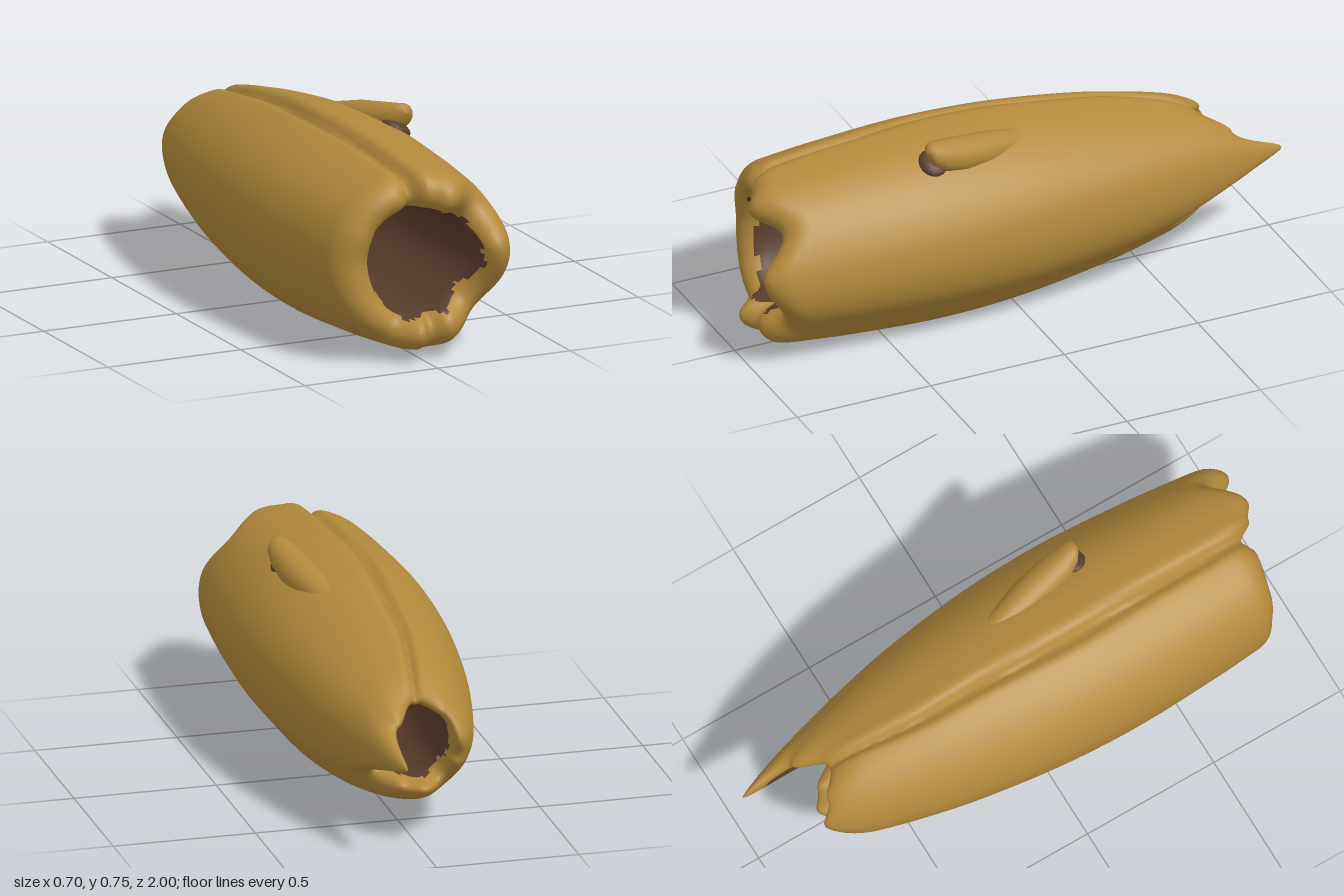
import * as THREE from 'three';

const bark = new THREE.MeshStandardMaterial({ color: 0xb3893b });
bark.name = 'bark';
const hollow = new THREE.MeshStandardMaterial({ color: 0x593c2c });
hollow.name = 'hollow';

const { lerp, degToRad, euclideanModulo } = THREE.MathUtils;
const CENTRE_Y = 0.355;

// Piecewise interpolation through [key, value] pairs in rising key order
function sample(points, key, ease = false) {
  if (key <= points[0][0]) return points[0][1];
  for (let i = 1; i < points.length; i++) {
    const [k0, v0] = points[i - 1], [k1, v1] = points[i];
    if (key <= k1) {
      const t = (key - k0) / (k1 - k0);
      return lerp(v0, v1, ease ? t * t * (3 - 2 * t) : t);
    }
  }
  return points[points.length - 1][1];
}

// Same, but eased and wrapped round the circle in degrees
function around(points, deg) {
  const first = points[0];
  const d = euclideanModulo(deg - first[0], 360) + first[0];
  return sample([...points, [first[0] + 360, first[1]]], d, true);
}

// Ragged ends of the log: how far each one reaches at each angle
const frontRim = [[10, 1], [45, 0.9], [74, 0.975], [90, 0.94], [102, 0.88], [115, 0.905], [150, 0.89],
  [180, 0.875], [240, 0.89], [262, 0.965], [274, 0.91], [288, 0.945], [315, 0.89]];
const backRim = [[5, -1], [50, -0.82], [90, -0.72], [125, -0.78], [165, -0.82], [200, -0.78],
  [235, -0.72], [262, -0.78], [288, -0.74], [318, -0.64]];

// Outer and inner radius along z
const curve = new THREE.SplineCurve([[-1, 0.12], [-0.9, 0.15], [-0.8, 0.182], [-0.65, 0.224], [-0.5, 0.262],
  [-0.3, 0.302], [0, 0.34], [0.3, 0.352], [0.6, 0.338], [0.75, 0.326], [0.9, 0.31], [1, 0.29]]
  .map(([z, r]) => new THREE.Vector2(z, r)));
const outerRadii = curve.getPoints(80).map((p) => [p.x, p.y]);
const innerRadii = [[-1, 0.08], [-0.65, 0.125], [-0.2, 0.17], [1, 0.185]];
const seamX = [[-0.8, 0], [-0.3, -0.06], [0.2, -0.085], [0.6, -0.07], [0.95, -0.055]];

const bell = (x, width) => Math.exp(-((x / width) ** 2));

function outerRadius(a, z) {
  const r = sample(outerRadii, z);
  const fade = r / 0.35;
  const seam = a - Math.acos(sample(seamX, z, true) / r);
  const flat = euclideanModulo(a, 2 * Math.PI) - degToRad(318);
  return r + fade * (-0.035 * bell(seam, 0.055) + 0.008 * bell(seam + 0.16, 0.1)
    - 0.022 * bell(flat, 0.32) + 0.003 * Math.sin(5 * a + 2 * z));
}

// Skin of cross-sections; pick(i, j) chooses the material of each quad
function loft(cols, rows, closed, point, pick) {
  const positions = [];
  for (let j = 0; j < rows; j++) {
    for (let i = 0; i < cols; i++) positions.push(...point(i, j));
  }
  const sets = [[], []];
  for (let j = 0; j < (closed ? rows : rows - 1); j++) {
    for (let i = 0; i < cols; i++) {
      const i2 = (i + 1) % cols, j2 = (j + 1) % rows;
      const a = j * cols + i, b = j2 * cols + i, c = j2 * cols + i2, d = j * cols + i2;
      sets[pick(i, j)].push(a, b, d, b, c, d);
    }
  }
  const geometry = new THREE.BufferGeometry();
  geometry.setAttribute('position', new THREE.Float32BufferAttribute(positions, 3));
  geometry.setIndex([...sets[0], ...sets[1]]);
  geometry.addGroup(0, sets[0].length, 0);
  geometry.addGroup(sets[0].length, sets[1].length, 1);
  geometry.computeVertexNormals();
  return geometry;
}

// Hollow trunk: out along the bark, round the back rim and forward along the inside
function makeTrunk() {
  const cols = 144, n = 44;
  const place = (i, j) => {
    const a = (i / cols) * Math.PI * 2, deg = (i / cols) * 360;
    const inside = j > n;
    const t = (inside ? 2 * n - j : j) / n;
    const zF = around(frontRim, deg), zB = around(backRim, deg);
    const z = lerp(zF, zB, (1 - Math.cos(Math.PI * t)) / 2);
    return { a, z, inside, front: zF - z, back: z - zB };
  };
  const round = (d, reach) => (d >= reach ? 1 : Math.sqrt(Math.max(0, 1 - (1 - d / reach) ** 2)));
  const point = (i, j) => {
    const { a, z, inside, front, back } = place(i, j);
    const ro = outerRadius(a, z), ri = sample(innerRadii, z) + 0.008 * Math.sin(3 * a + 1);
    const half = ((ro - ri) / 2) * round(front, 0.08) * round(back, 0.14);
    const r = (ro + ri) / 2 + (inside ? -half : half);
    return [r * Math.cos(a), CENTRE_Y + r * Math.sin(a), z];
  };
  const pick = (i, j) => {
    const { a, inside, front, back } = place(i, j);
    const ragged = 0.012 * Math.sin(7 * a) + 0.008 * Math.sin(17 * a);
    return inside && front > 0.05 + ragged && back > 0.06 + ragged ? 1 : 0;
  };
  const mesh = new THREE.Mesh(loft(cols, 2 * n, true, point, pick), [bark, hollow]);
  mesh.name = 'hollowTrunk';
  return mesh;
}

// Broken branch leaning forward, with a dark torn underside
function makeBranchStub() {
  const group = new THREE.Group();
  group.name = 'branchStub';
  // x, y, z, radius from tip to root
  const rings = [[0.187, 0.722, 0.37, 0.001], [0.187, 0.722, 0.363, 0.025], [0.181, 0.708, 0.345, 0.043],
    [0.17, 0.687, 0.3, 0.056], [0.155, 0.667, 0.22, 0.062], [0.135, 0.652, 0.12, 0.06], [0.1, 0.63, -0.02, 0.045]];
  const cols = 20;
  const point = (i, j) => {
    const [x, y, z, r] = rings[j], a = (i / cols) * Math.PI * 2;
    return [x + r * Math.cos(a), y + r * Math.sin(a), z];
  };
  const stub = new THREE.Mesh(loft(cols, rings.length, false, point, () => 0), [bark, hollow]);
  stub.name = 'stub';
  const torn = new THREE.Mesh(new THREE.SphereGeometry(1, 16, 10), hollow);
  torn.name = 'tornUnderside';
  torn.scale.set(0.055, 0.026, 0.05);
  torn.position.set(0.165, 0.662, 0.335);
  torn.rotation.z = -0.5;
  group.add(stub, torn);
  return group;
}

export function createModel() {
  const log = new THREE.Group();
  log.name = 'hollowLog';
  log.add(makeTrunk(), makeBranchStub());
  return log;
}
